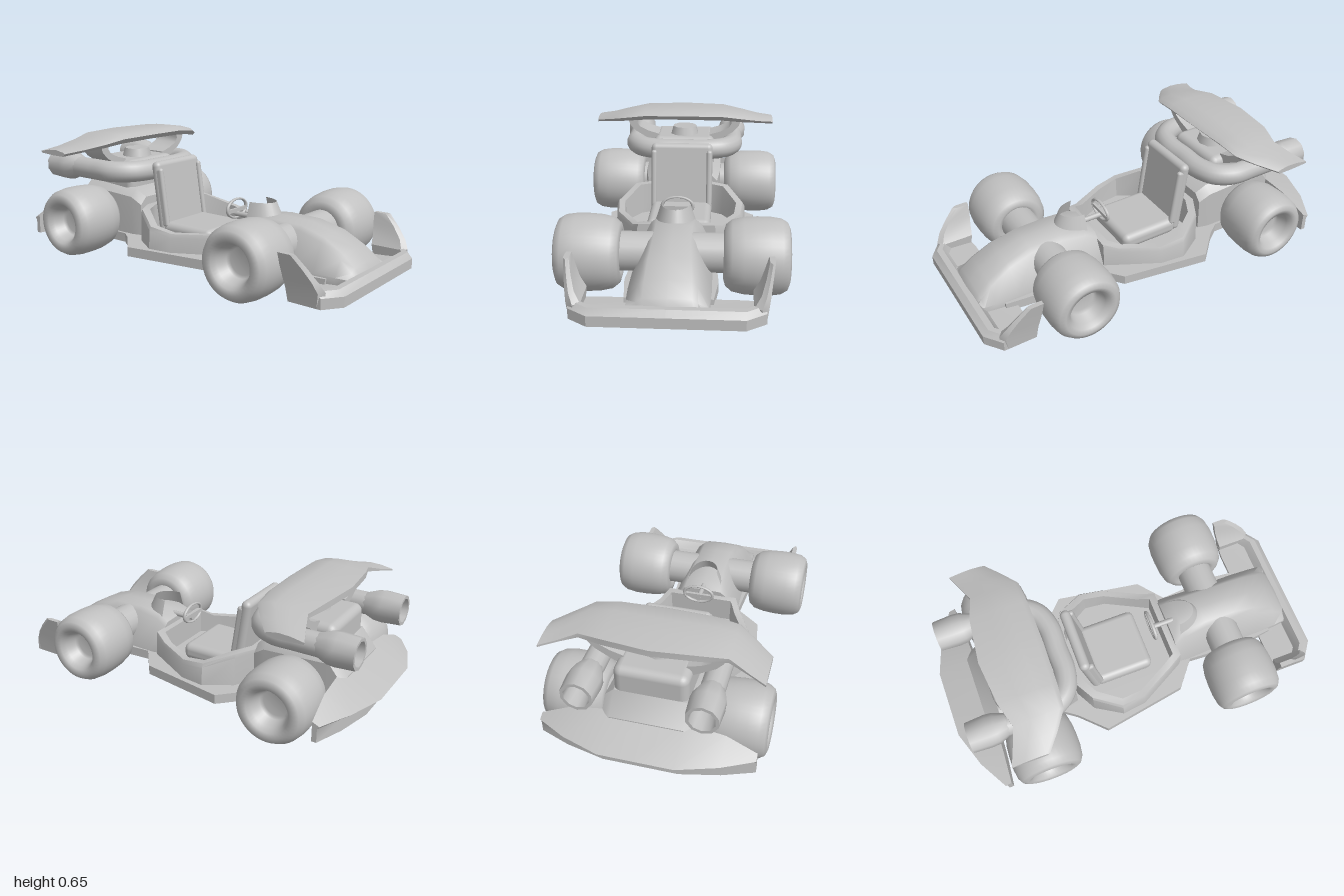
import * as THREE from 'three';
import { toCreasedNormals } from 'three/addons/utils/BufferGeometryUtils.js';
import { RoundedBoxGeometry } from 'three/addons/geometries/RoundedBoxGeometry.js';

const grey = new THREE.MeshStandardMaterial({ color: 0xc0c0c0, side: THREE.DoubleSide });
grey.name = 'lightGrey';

// Solid skin through matching closed cross-sections; faces are turned outwards by signed volume
function loft(sections, { crease = 0.6, closed = false } = {}) {
  const n = sections[0].length, m = sections.length, tris = [];
  const pts = sections.map(s => s.map(p => new THREE.Vector3(...p)));
  for (let i = 0; i < (closed ? m : m - 1); i++) {
    const a = pts[i], b = pts[(i + 1) % m];
    for (let j = 0; j < n; j++) {
      const k = (j + 1) % n;
      tris.push([a[j], a[k], b[k]], [a[j], b[k], b[j]]);
    }
  }
  if (!closed) {
    for (let j = 1; j < n - 1; j++) {
      tris.push([pts[0][0], pts[0][j + 1], pts[0][j]]);
      tris.push([pts[m - 1][0], pts[m - 1][j], pts[m - 1][j + 1]]);
    }
  }
  let volume = 0;
  for (const [a, b, c] of tris) volume += a.dot(b.clone().cross(c));
  const flat = tris.flatMap(([a, b, c]) => (volume < 0 ? [a, c, b] : [a, b, c]));
  const g = new THREE.BufferGeometry().setFromPoints(flat);
  g.computeVertexNormals();
  return toCreasedNormals(g, crease);
}

// Half-span stations mirrored to a full span along x
const span = list => [...list.filter(s => s[0] > 0).reverse().map(s => [-s[0], ...s.slice(1)]), ...list];

export function createModel() {
  const model = new THREE.Group();
  model.name = 'racingKart';
  const add = (name, geo, x = 0, y = 0, z = 0) => {
    const mesh = new THREE.Mesh(geo, grey);
    mesh.name = name;
    mesh.position.set(x, y, z);
    model.add(mesh);
    return mesh;
  };

  // Flat floor, wide beside the seat
  const half = [[0.2, 0.82], [0.22, 0.64], [0.2, 0.33], [0.335, 0.22], [0.41, -0.24], [0.28, -0.37], [0.23, -0.44], [0.23, -0.86]];
  const outline = [...half, ...half.slice().reverse().map(([x, z]) => [-x, z])];
  const floor = new THREE.ExtrudeGeometry(
    new THREE.Shape(outline.map(([x, z]) => new THREE.Vector2(x, -z))), { depth: 0.05, bevelEnabled: false });
  floor.rotateX(-Math.PI / 2);
  add('floor', floor, 0, 0.05, 0);

  // Nose: z, bottom half width, top half width, top height
  const nose = [[0.26, 0.19, 0.13, 0.26], [0.32, 0.195, 0.12, 0.29], [0.45, 0.19, 0.11, 0.305], [0.62, 0.19, 0.11, 0.3],
    [0.75, 0.19, 0.12, 0.265], [0.86, 0.185, 0.13, 0.205], [0.92, 0.18, 0.135, 0.155], [0.955, 0.16, 0.13, 0.11]];
  add('nose', loft(nose.map(([z, b, t, y]) => [[-b, 0.07, z], [-b, 0.11, z], [-t, y - 0.025, z], [-t * 0.8, y - 0.005, z], [0, y, z],
    [t * 0.8, y - 0.005, z], [t, y - 0.025, z], [b, 0.11, z], [b, 0.07, z]]), { crease: 0.9 }));

  // Cowl in front of the steering wheel, open to the rear
  const cowl = add('cowl', new THREE.CylinderGeometry(0.072, 0.1, 0.085, 16, 1, true, -Math.PI / 2, Math.PI), 0, 0.318, 0.3);
  cowl.scale.z = 1.45;

  // Steering wheel and column
  const steering = add('steeringWheel', new THREE.TorusGeometry(0.08, 0.009, 8, 24), 0, 0.295, 0.165);
  steering.scale.y = 0.62;
  add('steeringSpoke', new THREE.BoxGeometry(0.15, 0.02, 0.012), 0, 0.285, 0.165);
  const column = add('steeringColumn', new THREE.CylinderGeometry(0.014, 0.014, 0.15, 10), 0, 0.265, 0.235);
  column.rotation.x = Math.PI / 2;

  // Cockpit rim, dipping at the sides: outer x, z, top height
  const rim = [[0.2, 0.265, 0.23], [0.24, 0.19, 0.2], [0.34, 0, 0.195], [0.355, -0.13, 0.215], [0.27, -0.27, 0.27], [0.16, -0.33, 0.27]];
  const loop = [...rim, ...rim.slice().reverse().map(([x, z, y]) => [-x, z, y])];
  add('cockpitRim', loft(loop.map(([x, z, y]) => {
    const u = x * 0.87, w = (z + 0.03) * 0.87 - 0.03;
    return [[x * 1.02, 0.09, z], [x, y - 0.02, z], [x * 0.97, y, z], [u, y, w], [u * 0.97, 0.09, w]];
  }), { closed: true }));

  // Seat
  add('seatCushion', new RoundedBoxGeometry(0.34, 0.09, 0.33, 4, 0.035), 0, 0.145, -0.05);
  const back = add('seatBack', new RoundedBoxGeometry(0.345, 0.4, 0.055, 4, 0.027), 0, 0.315, -0.238);
  back.rotation.x = -0.15;
  for (const s of [-1, 1]) {
    const bolster = add('seatBolster', new RoundedBoxGeometry(0.03, 0.32, 0.06, 3, 0.014), s * 0.155, 0.32, -0.225);
    bolster.rotation.x = -0.15;
  }

  // Front bumper tray: x, front z, rear z
  add('frontBumper', loft(span([[0, 1, 0.76], [0.34, 1, 0.76], [0.43, 0.935, 0.77]]).map(([x, f, r]) => [
    [x, 0.05, f], [x, 0.1, f], [x, 0.125, f - 0.03], [x, 0.125, f - 0.06], [x, 0.08, f - 0.09], [x, 0.07, r], [x, 0.05, r]])));
  // Upright fins at the bumper ends: y, inner x, outer x, rear z, front z
  const fin = [[0.05, 0.38, 0.43, 0.77, 0.935], [0.12, 0.375, 0.438, 0.76, 0.945], [0.165, 0.405, 0.446, 0.75, 0.92],
    [0.22, 0.425, 0.456, 0.74, 0.875], [0.277, 0.442, 0.467, 0.735, 0.82]];
  for (const s of [-1, 1]) add('bumperFin', loft(fin.map(([y, i, o, r, f]) =>
    [[s * o, y, r], [s * o, y, f - 0.02], [s * (i + o) / 2, y, f], [s * i, y, f - 0.02], [s * i, y, r]])));

  // Rear bumper: x, rear z, inner z, top height
  add('rearBumper', loft(span([[0, -1, -0.79, 0.28], [0.18, -1, -0.79, 0.28], [0.37, -0.935, -0.8, 0.26], [0.52, -0.85, -0.815, 0.2]])
    .map(([x, b, i, y]) => {
      const k = (i - b) * 0.3;
      return [[x, y, i], [x, 0.18 + (y - 0.18) * 0.2, b], [x, 0.17, b + k], [x, 0.1, b + k], [x, 0.1, i]];
    })));

  // Rear body: z, half width, top height
  const rear = [[-0.34, 0.2, 0.31], [-0.4, 0.215, 0.35], [-0.75, 0.22, 0.37], [-0.83, 0.22, 0.27]];
  add('rearBody', loft(rear.map(([z, w, y]) =>
    [[-w, 0.07, z], [-w, y - 0.04, z], [-w * 0.8, y, z], [w * 0.8, y, z], [w, y - 0.04, z], [w, 0.07, z]])));
  add('engineBlock', new RoundedBoxGeometry(0.36, 0.2, 0.32, 3, 0.04), 0, 0.4, -0.59);
  add('engineCap', new THREE.CylinderGeometry(0.07, 0.088, 0.06, 10), 0, 0.515, -0.56);

  // Exhaust hoop running round the front of the engine
  const arc = span([[0, -0.365], [0.13, -0.365], [0.225, -0.4], [0.28, -0.48], [0.285, -0.6], [0.285, -0.76]]);
  const path = new THREE.CatmullRomCurve3(arc.map(([x, z]) => new THREE.Vector3(x, 0.452, z)), false, 'centripetal');
  add('exhaustHoop', new THREE.TubeGeometry(path, 64, 0.058, 14));
  // Flared hollow outlets
  const outletProfile = [[0.056, 0], [0.08, 0.06], [0.084, 0.1], [0.078, 0.2], [0.062, 0.2], [0.058, 0.09], [0, 0.09]];
  for (const s of [-1, 1]) {
    const g = new THREE.LatheGeometry(outletProfile.map(p => new THREE.Vector2(...p)), 10);
    g.rotateX(-Math.PI / 2);
    add('exhaustOutlet', toCreasedNormals(g.toNonIndexed(), 0.7), s * 0.285, 0.455, -0.72);
  }

  // Rear wing: x, front z, rear z, top height, underside height
  const wing = [[0, -0.42, -0.75, 0.657, 0.605], [0.23, -0.425, -0.725, 0.655, 0.602], [0.35, -0.435, -0.69, 0.635, 0.592],
    [0.44, -0.5, -0.725, 0.605, 0.575], [0.525, -0.57, -0.76, 0.585, 0.555]];
  add('rearWing', loft(span(wing).map(([x, f, r, t, b]) => {
    const c = f - r, m = (t + b) / 2;
    return [[x, m, f], [x, t - 0.008, f - c * 0.08], [x, t, f - c * 0.35], [x, t - 0.003, f - c * 0.65],
      [x, t - 0.015, r], [x, b + 0.005, r], [x, b, f - c * 0.5], [x, b, f - c * 0.08]];
  }), { crease: 0.7 }));
  // Curved wing struts
  const strut = [[0.15, 0.475, 0.03], [0.22, 0.505, 0.025], [0.275, 0.535, 0.025], [0.3, 0.565, 0.028], [0.305, 0.6, 0.03]];
  for (const s of [-1, 1]) add('wingStrut', loft(strut.map(([x, y, t], i) => {
    const dx = t * i / 4, dy = t * (1 - i / 4);
    return [[s * (x + dx), y - dy, -0.5], [s * (x - dx), y + dy, -0.5], [s * (x - dx), y + dy, -0.66], [s * (x + dx), y - dy, -0.66]];
  }), { crease: 0.8 }));

  // Wheels and axle stubs: tyre profile as radius, distance from centre
  const tyre = [[0, -0.11], [0.07, -0.115], [0.09, -0.145], [0.115, -0.154], [0.145, -0.145], [0.17, -0.115], [0.182, -0.06], [0.186, 0],
    [0.186, 0.06], [0.178, 0.115], [0.16, 0.145], [0.135, 0.155], [0.11, 0.147], [0.095, 0.12], [0.078, 0.07], [0.065, 0.055], [0, 0.055]];
  for (const s of [-1, 1]) for (const [end, z] of [['front', 0.535], ['rear', -0.6]]) {
    const wheel = add(end + 'Wheel', new THREE.LatheGeometry(tyre.map(p => new THREE.Vector2(...p)), 40), s * 0.395, 0.19, z);
    wheel.rotation.z = -s * Math.PI / 2;
    const stub = add(end + 'Axle', new THREE.CylinderGeometry(0.095, 0.095, 0.2, 20), s * 0.19, 0.2, z);
    stub.rotation.z = Math.PI / 2;
  }
  return model;
}
